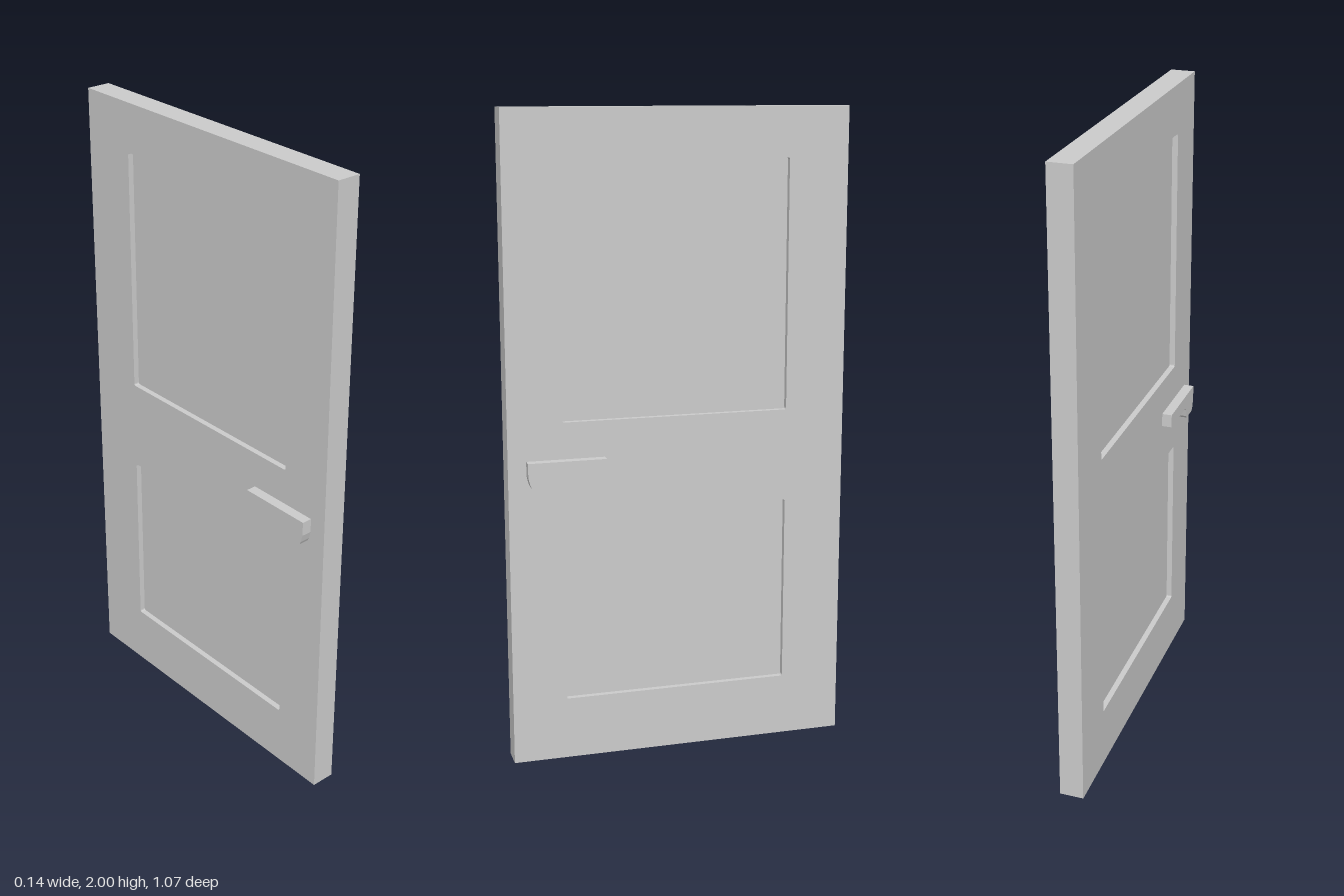
import * as THREE from 'three';

const material = new THREE.MeshStandardMaterial({ color: 0xcccccc, flatShading: true });

// Extrudes a side profile drawn in (-z, y) across the thickness from x0 to x1
function extrudeAcross(shape, x0, x1, name) {
  const geometry = new THREE.ExtrudeGeometry(shape, {
    depth: x1 - x0, bevelEnabled: false, curveSegments: 3,
  });
  geometry.translate(0, 0, x0);
  geometry.rotateY(Math.PI / 2);
  const mesh = new THREE.Mesh(geometry, material);
  mesh.name = name;
  return mesh;
}

// Rectangle with slightly eased corners
function easedRect(path, x0, y0, x1, y1, r) {
  path.moveTo(x0 + r, y0);
  path.lineTo(x1 - r, y0);
  path.quadraticCurveTo(x1, y0, x1, y0 + r);
  path.lineTo(x1, y1 - r);
  path.quadraticCurveTo(x1, y1, x1 - r, y1);
  path.lineTo(x0 + r, y1);
  path.quadraticCurveTo(x0, y1, x0, y1 - r);
  path.lineTo(x0, y0 + r);
  path.quadraticCurveTo(x0, y0, x0 + r, y0);
  return path;
}

export function createModel() {
  const door = new THREE.Group();
  door.name = 'door';

  const left = -0.037, right = 0.039, halfWidth = 0.533, recess = 0.018;
  const panels = [
    { name: 'upperPanel', y0: 1.075, y1: 1.848 },
    { name: 'lowerPanel', y0: 0.195, y1: 0.785 },
  ];

  // Frame with two openings, each closed by a thinner recessed panel
  const frame = new THREE.Shape([
    new THREE.Vector2(-halfWidth, 0), new THREE.Vector2(halfWidth, 0),
    new THREE.Vector2(halfWidth, 2), new THREE.Vector2(-halfWidth, 2),
  ]);
  for (const { name, y0, y1 } of panels) {
    frame.holes.push(easedRect(new THREE.Path(), -0.365, y0, 0.345, y1, 0.006));
    const panel = easedRect(new THREE.Shape(), -0.365, y0, 0.345, y1, 0.006);
    door.add(extrudeAcross(panel, left + recess, right - recess, name));
  }
  door.add(extrudeAcross(frame, left, right, 'frame'));

  // Lever handle on each face
  const lever = new THREE.Shape([
    [-0.477, 0.962], [-0.477, 0.918], [-0.471, 0.894], [-0.466, 0.884], [-0.457, 0.878],
    [-0.404, 0.878], [-0.398, 0.886], [-0.391, 0.912], [-0.384, 0.919],
    [-0.235, 0.919], [-0.235, 0.962],
  ].map(([x, y]) => new THREE.Vector2(x, y)));
  door.add(extrudeAcross(lever, right, 0.069, 'leftHandle'));
  door.add(extrudeAcross(lever, -0.069, left, 'rightHandle'));

  return door;
}
